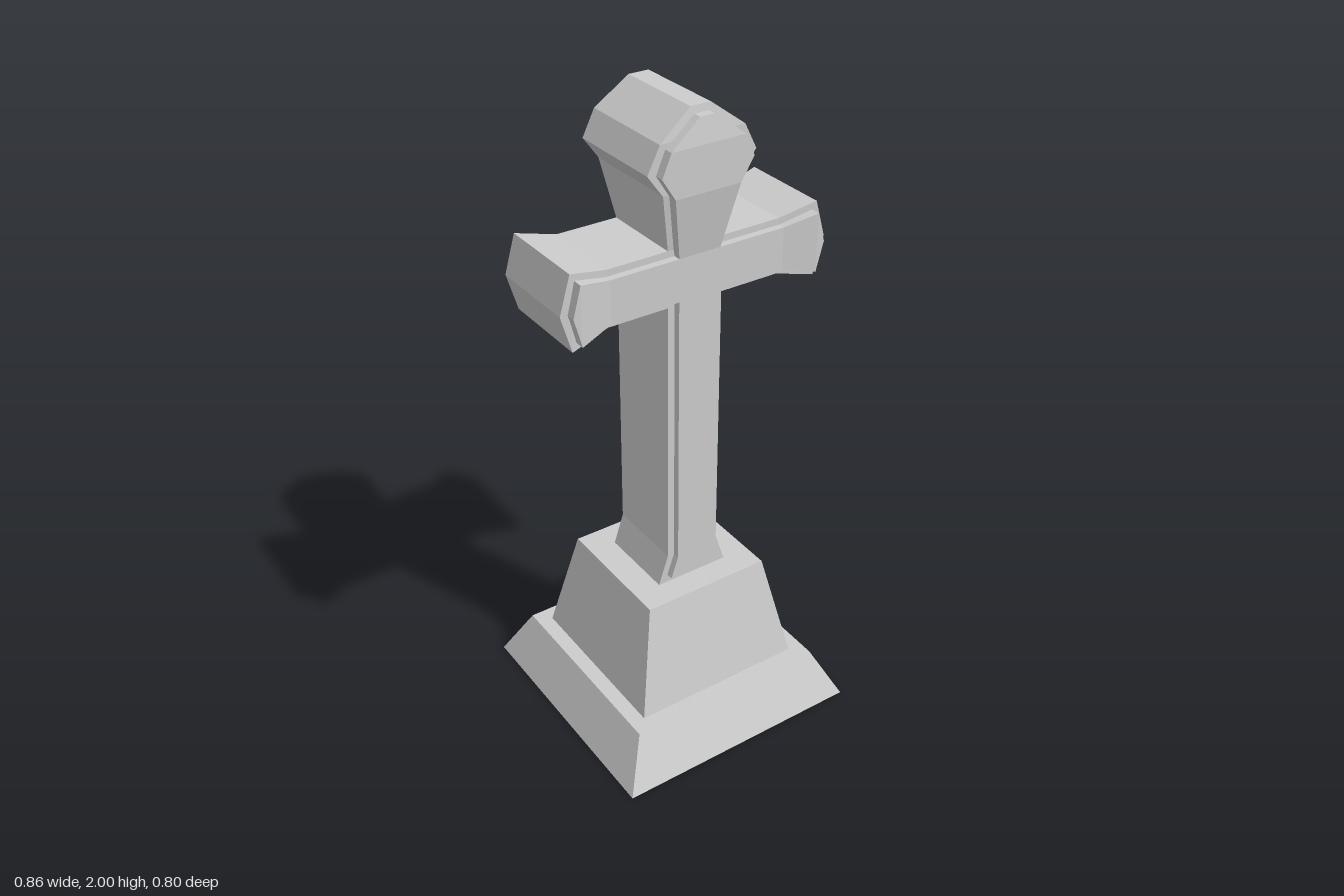
import * as THREE from 'three';

const material = new THREE.MeshStandardMaterial({ color: 0xcccccc, flatShading: true, side: THREE.DoubleSide });

function addMesh(parent, name, geometry) {
  const g = geometry.index ? geometry.toNonIndexed() : geometry;
  g.computeVertexNormals();
  const mesh = new THREE.Mesh(g, material);
  mesh.name = name;
  parent.add(mesh);
  return mesh;
}

// Square, open-bottomed tier from a [halfWidth, y] profile
function tier(profile) {
  const points = profile.map(([w, y]) => new THREE.Vector2(w * Math.SQRT2, y));
  return new THREE.LatheGeometry(points, 4, Math.PI / 4);
}

// Bar running along +x through rectangular sections [x, yLow, yHigh, halfDepth]
function bar(sections) {
  const rings = sections.map(([x, lo, hi, z]) => [[x, lo, -z], [x, hi, -z], [x, hi, z], [x, lo, z]]);
  const pos = [];
  const quad = (a, b, c, d) => pos.push(...a, ...b, ...c, ...a, ...c, ...d);
  for (let s = 0; s < rings.length - 1; s++) {
    const r = rings[s], n = rings[s + 1];
    for (let i = 0; i < 4; i++) {
      const j = (i + 1) % 4;
      quad(r[i], r[j], n[j], n[i]);
    }
  }
  quad(...[...rings[0]].reverse());
  quad(...rings[rings.length - 1]);
  const g = new THREE.BufferGeometry();
  g.setAttribute('position', new THREE.Float32BufferAttribute(pos, 3));
  return g;
}

// Upright bar from [y, halfWidth, halfDepth] sections
const upright = rows => bar(rows.map(([y, w, z]) => [y, -w, w, z])).rotateZ(Math.PI / 2);

// Upright plus two mirrored arms
function cross(name, uprightRows, armRows) {
  const group = new THREE.Group();
  group.name = name;
  addMesh(group, name + 'Upright', upright(uprightRows));
  addMesh(group, name + 'LeftArm', bar(armRows));
  addMesh(group, name + 'RightArm', bar(armRows).rotateY(Math.PI));
  return group;
}

export function createModel() {
  const model = new THREE.Group();
  model.name = 'graveCross';

  // Stepped base
  addMesh(model, 'plinth', tier([[0.402, 0], [0.325, 0.158], [0.277, 0.158]]));
  addMesh(model, 'pedestal', tier([[0.277, 0.158], [0.207, 0.503], [0, 0.503]]));

  // Main body with flared ends
  model.add(cross('body', [
    [0.503, 0.12, 0.126], [0.6, 0.088, 0.126], [1.612, 0.088, 0.126],
    [1.785, 0.122, 0.155], [1.85, 0.169, 0.155], [1.925, 0.131, 0.155], [2, 0.031, 0.142],
  ], [
    [0.08, 1.443, 1.612, 0.126], [0.277, 1.443, 1.612, 0.126],
    [0.395, 1.414, 1.64, 0.143], [0.428, 1.527, 1.527, 0.143],
  ]));

  // Narrower panel standing proud of the front and back
  model.add(cross('raisedPanel', [
    [0.53, 0.09, 0.148], [0.6, 0.066, 0.148], [1.592, 0.066, 0.148],
    [1.78, 0.102, 0.183], [1.845, 0.143, 0.183], [1.91, 0.115, 0.183], [1.98, 0.022, 0.171],
  ], [
    [0.06, 1.464, 1.592, 0.148], [0.279, 1.464, 1.592, 0.148],
    [0.381, 1.438, 1.617, 0.172], [0.405, 1.527, 1.527, 0.172],
  ]));

  return model;
}
